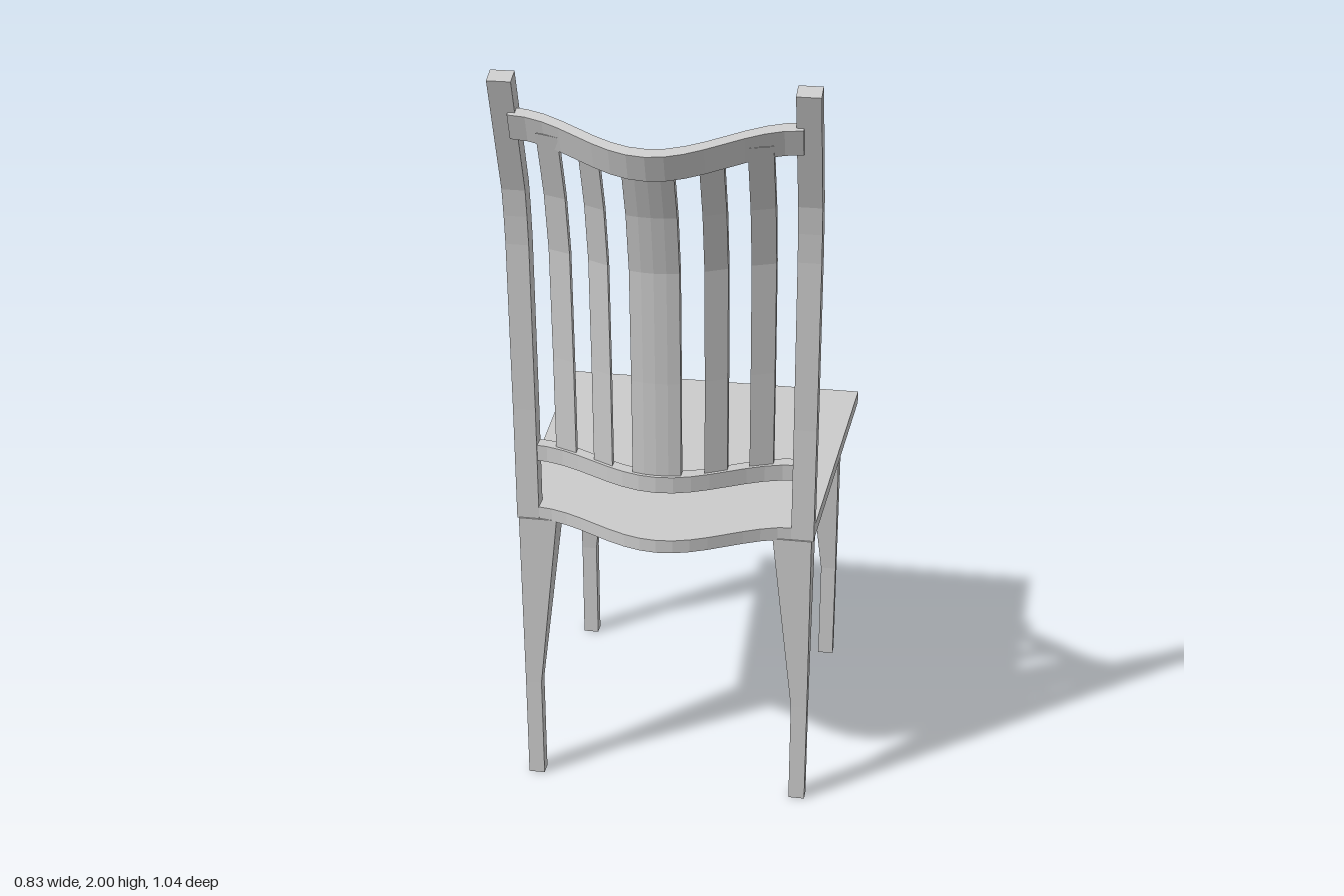
import * as THREE from 'three';

const material = new THREE.MeshStandardMaterial({ color: 0xcccccc, flatShading: true });

// plan curve shared by seat edge, rails and slats: forward offset at x
const bow = (x) => 0.06 * (1 - Math.cos((Math.PI * x) / 0.34));

// evenly spaced values from a to b
const span = (a, b, n) => Array.from({ length: n + 1 }, (_, i) => a + ((b - a) * i) / n);

// closed solid through matching loops of [x, y, z] points, wound outwards
function loft(name, loops) {
  const n = loops[0].length;
  const pts = loops.flat();
  const tris = [];
  for (let s = 0; s < loops.length - 1; s++) {
    for (let i = 0; i < n; i++) {
      const a = s * n + i, b = s * n + ((i + 1) % n);
      tris.push([a, b, b + n], [a, b + n, a + n]);
    }
  }
  // caps, zipped across the two long sides of the loop
  const last = (loops.length - 1) * n;
  for (let i = 0; i < n / 2 - 1; i++) {
    const j = n - 1 - i;
    tris.push([i, j, j - 1], [i, j - 1, i + 1]);
    tris.push([last + i, last + j - 1, last + j], [last + i, last + i + 1, last + j - 1]);
  }
  const v = pts.map((p) => new THREE.Vector3(...p));
  const c = v.reduce((sum, p) => sum.add(p), new THREE.Vector3()).divideScalar(v.length);
  const rel = v.map((p) => p.clone().sub(c));
  let volume = 0;
  for (const [a, b, d] of tris) volume += rel[a].dot(rel[b].clone().cross(rel[d]));
  if (volume < 0) tris.forEach((t) => t.reverse());

  const geometry = new THREE.BufferGeometry();
  geometry.setAttribute('position', new THREE.Float32BufferAttribute(pts.flat(), 3));
  geometry.setIndex(tris.flat());
  const flat = geometry.toNonIndexed();
  flat.computeVertexNormals();
  const mesh = new THREE.Mesh(flat, material);
  mesh.name = name;
  return mesh;
}

// rectangle in plan at height y
const rect = (x0, x1, z0, z1, y) => [[x0, y, z0], [x1, y, z0], [x1, y, z1], [x0, y, z1]];

function makeSeat() {
  const shape = new THREE.Shape();
  shape.moveTo(-0.414, -0.52);
  shape.lineTo(0.414, -0.52);
  shape.lineTo(0.379, 0.285);
  for (const x of span(0.33, -0.33, 16)) shape.lineTo(x, 0.405 - bow(x));
  shape.lineTo(-0.379, 0.285);
  shape.closePath();
  const geometry = new THREE.ExtrudeGeometry(shape, { depth: 0.035, bevelEnabled: false });
  geometry.rotateX(Math.PI / 2).translate(0, 0.825, 0);
  const mesh = new THREE.Mesh(geometry, material);
  mesh.name = 'seat';
  return mesh;
}

// leg tapering on its inner faces
function makeLeg(name, s, zOuter, zInner, zInnerTop, zOuterTop) {
  return loft(name, [
    rect(s * 0.333, s * 0.375, zInner, zOuter, 0),
    rect(s * 0.333, s * 0.375, zInner, zOuter, 0.29),
    rect(s * 0.277, s * 0.375, zInnerTop, zOuterTop, 0.792),
  ]);
}

// post side profile: [front z, front y, back z, back y]
const postProfile = [
  [0.246, 0.79, 0.288, 0.79],
  [0.247, 1.1, 0.289, 1.1],
  [0.257, 1.55, 0.299, 1.545],
  [0.265, 1.63, 0.306, 1.62],
  [0.276, 1.7, 0.316, 1.69],
  [0.375, 2.0, 0.415, 1.986],
];
const makePost = (s) =>
  loft('backPost', postProfile.map(([zf, yf, zb, yb]) => [
    [s * 0.323, yf, zf], [s * 0.38, yf, zf], [s * 0.38, yb, zb], [s * 0.323, yb, zb],
  ]));

// slat whose face follows the bow across its width
const slatPath = [[0.98, 0.392], [1.25, 0.397], [1.54, 0.41], [1.69, 0.442], [1.83, 0.495]];
function makeSlat(name, x0, x1, columns) {
  const xs = span(x0, x1, columns);
  const rise = 0.33 * bow((x0 + x1) / 2);
  return loft(name, slatPath.map(([y, z], i) => {
    const top = i === slatPath.length - 1 ? rise : 0;
    const back = xs.map((x) => [x, y + top, z + 0.38 * top - bow(x)]);
    const front = xs.map((x) => [x, y + top, z + 0.38 * top - 0.02 - bow(x)]);
    return [...back, ...front.reverse()];
  }));
}

export function createModel() {
  const chair = new THREE.Group();
  chair.name = 'chair';
  chair.add(makeSeat());

  // legs, posts and narrow slats in mirrored pairs
  for (const s of [1, -1]) {
    chair.add(
      makeLeg('frontLeg', s, -0.47, -0.437, -0.395, -0.47),
      makeLeg('backLeg', s, 0.283, 0.249, 0.204, 0.292),
      makePost(s),
      makeSlat('innerSlat', s * 0.115, s * 0.167, 1),
      makeSlat('outerSlat', s * 0.218, s * 0.274, 1),
    );
  }
  chair.add(makeSlat('centreSlat', -0.06, 0.06, 4));

  // bowed rails between the posts
  const xs = span(-0.34, 0.34, 16);
  chair.add(loft('lowerRail', xs.map((x) => {
    const d = bow(x);
    return [[x, 0.957, 0.367 - d], [x, 0.957, 0.402 - d], [x, 1.0, 0.402 - d], [x, 1.0, 0.367 - d]];
  })));
  // top rail leans back, so its height rises towards the posts
  chair.add(loft('topRail', xs.map((x) => {
    const d = bow(x), r = 0.33 * d;
    return [
      [x, 1.807 + r, 0.466 - d], [x, 1.797 + r, 0.494 - d],
      [x, 1.862 + r, 0.516 - d], [x, 1.872 + r, 0.489 - d],
    ];
  })));
  return chair;
}
